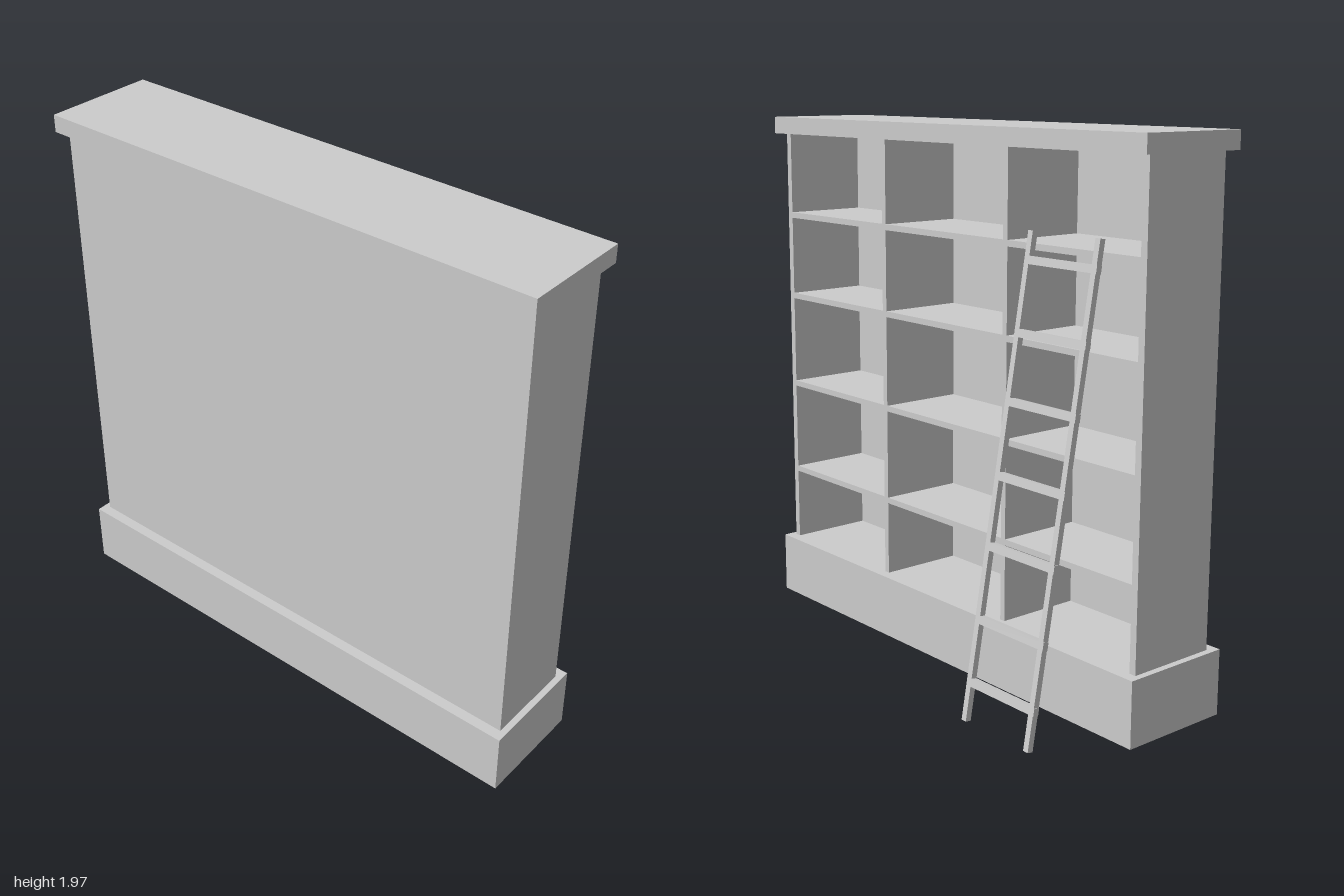
import * as THREE from 'three';

const material = new THREE.MeshStandardMaterial({ color: 0xcccccc, flatShading: true });

// Box given by its min and max corners
function box(parent, name, [x0, y0, z0], [x1, y1, z1]) {
  const mesh = new THREE.Mesh(new THREE.BoxGeometry(x1 - x0, y1 - y0, z1 - z0), material);
  mesh.position.set((x0 + x1) / 2, (y0 + y1) / 2, (z0 + z1) / 2);
  mesh.name = name;
  parent.add(mesh);
  return mesh;
}

export function createModel() {
  const model = new THREE.Group();
  model.name = 'bookcaseWithLadder';

  const baseTop = 0.247, capBottom = 1.91;
  const back = -0.305, front = 0.04;

  // Plinth and cornice
  box(model, 'plinth', [-0.345, 0.011, -1], [0.08, baseTop, 1]);
  box(model, 'cornice', [-0.345, capBottom, -1], [0.08, 1.974, 1]);

  // Carcass
  box(model, 'backPanel', [back, baseTop, -0.95], [back + 0.02, capBottom, 0.95]);
  box(model, 'sidePanelLeft', [back, baseTop, 0.95], [front, capBottom, 0.976]);
  box(model, 'sidePanelRight', [back, baseTop, -0.976], [front, capBottom, -0.95]);

  // Uprights and the shelves between them
  const uprights = [0.345, -0.33];
  for (const z of uprights) {
    box(model, 'divider', [back + 0.02, baseTop, z - 0.011], [front, capBottom, z + 0.011]);
  }
  const bays = [[0.356, 0.95], [-0.319, 0.334], [-0.95, -0.341]];
  for (const y of [0.539, 0.901, 1.263, 1.588]) {
    for (const [z0, z1] of bays) {
      box(model, 'shelf', [back + 0.02, y - 0.011, z0], [front, y + 0.011, z1]);
    }
  }

  // Leaning ladder, built upright from its foot and then tilted
  const ladder = new THREE.Group();
  ladder.name = 'ladder';
  const length = 1.664, tilt = Math.atan2(0.282, 1.64), half = 0.011;
  for (const z of [-0.475, -0.784]) {
    box(ladder, 'ladderRail', [-half, 0, z - half], [half, length, z + half]);
  }
  for (const y of [0.134, 0.349, 0.598, 0.834, 1.081, 1.307, 1.545]) {
    const along = y / Math.cos(tilt);
    box(ladder, 'ladderRung', [-half, along - 0.014, -0.797], [half, along + 0.014, -0.467]);
  }
  ladder.rotation.z = tilt;
  ladder.position.set(0.33, 0.002, 0);
  model.add(ladder);

  return model;
}
